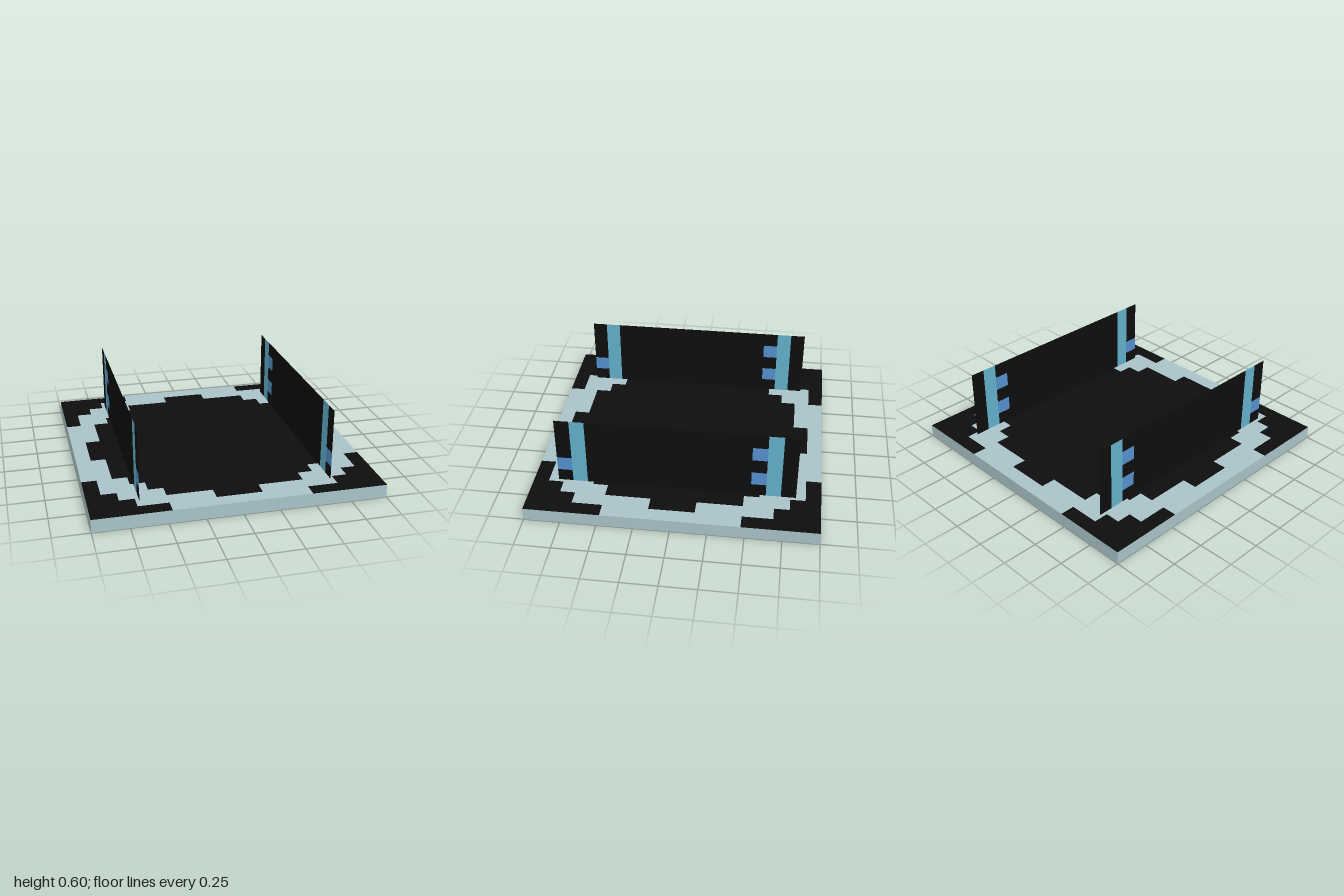
import * as THREE from 'three';
import { mergeGeometries } from 'three/addons/utils/BufferGeometryUtils.js';

const CELL = 2 / 19;      // base pattern cell
const BASE_H = 0.093;     // slab thickness
const PX = 0.1035;        // panel pattern cell
const TOP = 0.597;        // top of the upright panels
const PANEL_X = 0.66;

const mat = (name, color, side = THREE.FrontSide) => {
  const m = new THREE.MeshStandardMaterial({ color, side });
  m.name = name;
  return m;
};

// Stepped, symmetric outline; widths[i] is the half width of row i, in cells
function steppedOutline(widths) {
  const pts = [];
  const add = (x, y) => pts.push(new THREE.Vector2(x * CELL, y * CELL));
  const n = widths.length - 1;
  for (let s = 1; s >= -1; s -= 2) {
    for (let k = -n; k <= n; k++) {
      const row = s * k;
      const w = widths[Math.abs(row)];
      add(s * w, row - s * 0.5);
      add(s * w, row + s * 0.5);
    }
  }
  return pts.filter((p, i) => i === 0 || !p.equals(pts[i - 1]));
}

export function createModel() {
  const model = new THREE.Group();
  const pale = mat('paleGreyBlue', 0xa8c2c8);
  const black = mat('black', 0x0d0d0d, THREE.DoubleSide);
  const cyan = mat('cyan', 0x62b0ca, THREE.DoubleSide);
  const blue = mat('blue', 0x558fcd, THREE.DoubleSide);

  const addMesh = (parent, name, geo, material) => {
    const mesh = new THREE.Mesh(geo, material);
    mesh.name = name;
    parent.add(mesh);
    return mesh;
  };

  // Base pattern: pale ring, dark centre and four dark stepped corners
  const outer = steppedOutline([9.5, 9.5, 9.5, 9.5, 9.5, 8.5, 8.5, 7.5, 6.5, 4.5]);
  const inner = steppedOutline([8.5, 8.5, 7.5, 7.5, 7.5, 6.5, 5.5, 4.5, 1.5]);
  const ring = new THREE.Shape(outer);
  ring.holes.push(new THREE.Path(inner));
  const corner = new THREE.Shape([
    [9.5, 4.5], [9.5, 9.5], [4.5, 9.5], [4.5, 8.5], [6.5, 8.5], [6.5, 7.5],
    [7.5, 7.5], [7.5, 6.5], [8.5, 6.5], [8.5, 4.5],
  ].map(([x, y]) => new THREE.Vector2(x * CELL, y * CELL)));
  const ringGeo = new THREE.ShapeGeometry(ring);
  const centreGeo = new THREE.ShapeGeometry(new THREE.Shape(inner));
  const cornersGeo = mergeGeometries([0, 1, 2, 3].map(
    (i) => new THREE.ShapeGeometry(corner).rotateZ(i * Math.PI / 2)));

  const base = new THREE.Group();
  base.name = 'base';
  for (const [name, y, angle] of [['top', BASE_H, -Math.PI / 2], ['bottom', 0, Math.PI / 2]]) {
    const face = new THREE.Group();
    face.name = name + 'Face';
    addMesh(face, name + 'Ring', ringGeo, pale);
    addMesh(face, name + 'Centre', centreGeo, black);
    addMesh(face, name + 'Corners', cornersGeo, black);
    face.rotation.x = angle;
    face.position.y = y;
    base.add(face);
  }

  // Four slab edges
  const edges = [0, 1, 2, 3].map((i) => new THREE.PlaneGeometry(2, BASE_H)
    .translate(0, BASE_H / 2, 1).rotateY(i * Math.PI / 2));
  addMesh(base, 'baseEdges', mergeGeometries(edges), pale);
  model.add(base);

  // Panel patch: z range in cells, then rows counted down from the top
  const LAST = (TOP - BASE_H) / PX;
  const patch = ([z0, z1, r0 = 0, r1 = LAST]) =>
    new THREE.PlaneGeometry((z1 - z0) * PX, (r1 - r0) * PX)
      .rotateY(Math.PI / 2)
      .translate(0, TOP - (r0 + r1) / 2 * PX, (z0 + z1) / 2 * PX);
  const patches = (list) => mergeGeometries(list.map(patch));

  const boardGeo = patches([
    [-8, -7], [-5, 6],
    [-6, -5, 0, 1], [-6, -5, 2, 3], [-6, -5, 4, LAST],
    [7, 8, 0, 3], [7, 8, 4, LAST],
  ]);
  const stripeGeo = patches([[-7, -6], [6, 7]]);
  const tabGeo = patches([[-6, -5, 1, 2], [-6, -5, 3, 4], [7, 8, 3, 4]]);

  // Two thin upright panels
  for (const [name, x] of [['leftPanel', PANEL_X], ['rightPanel', -PANEL_X]]) {
    const panel = new THREE.Group();
    panel.name = name;
    addMesh(panel, 'panelBoard', boardGeo, black);
    addMesh(panel, 'panelStripes', stripeGeo, cyan);
    addMesh(panel, 'panelTabs', tabGeo, blue);
    panel.position.x = x;
    model.add(panel);
  }
  return model;
}
